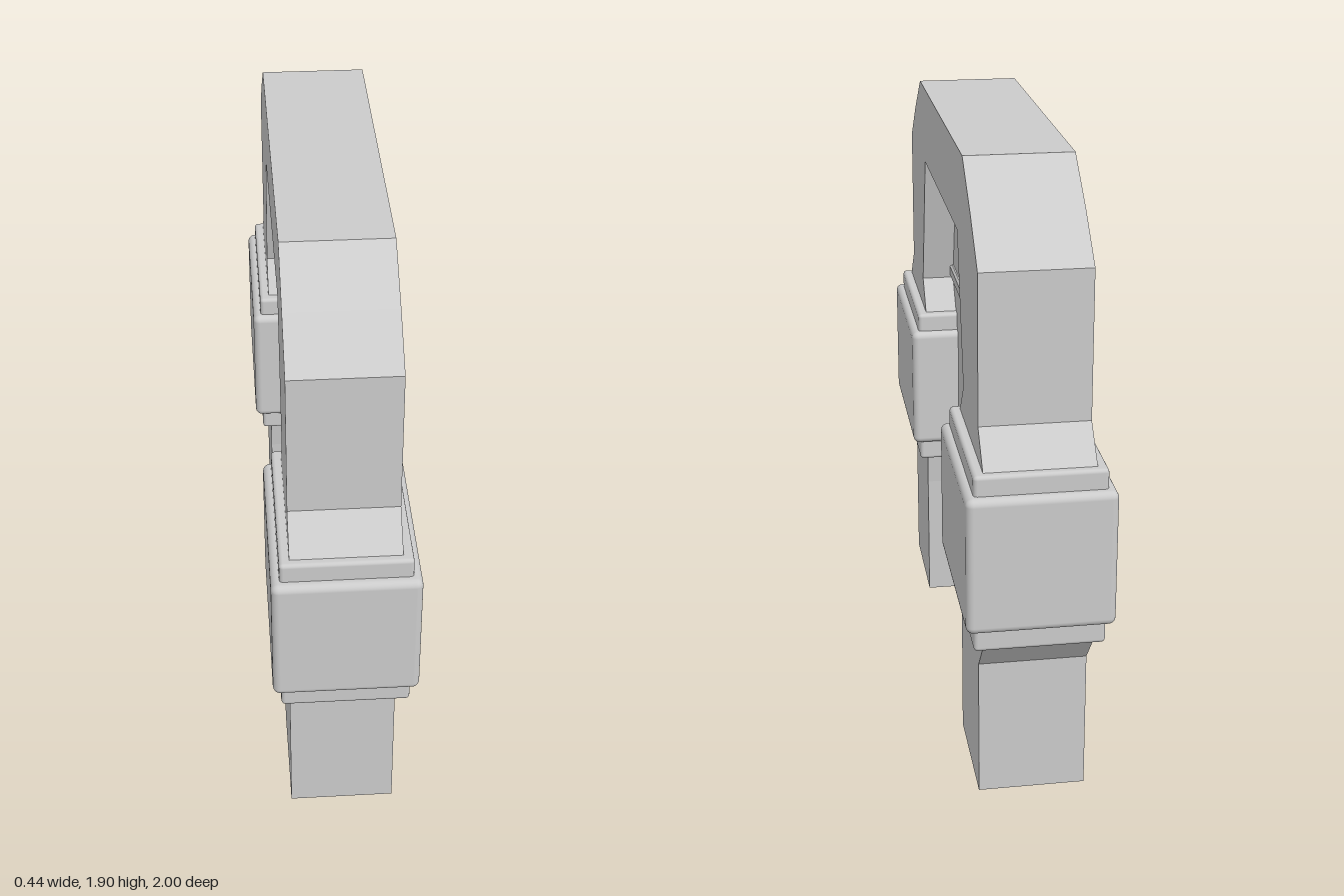
import * as THREE from 'three';
import { RoundedBoxGeometry } from 'three/addons/geometries/RoundedBoxGeometry.js';

const material = new THREE.MeshStandardMaterial({ color: 0xcccccc });

function add(group, name, geometry) {
  const mesh = new THREE.Mesh(geometry, material);
  mesh.name = name;
  group.add(mesh);
  return mesh;
}

const toVectors = (points) => points.map(([z, y]) => new THREE.Vector2(z, y));

// Slab with a profile in the z-y plane, centred on x = 0
function slab(profile, width, bevel = 0, holes = []) {
  const shape = new THREE.Shape(toVectors(profile));
  holes.forEach((hole) => shape.holes.push(new THREE.Path(toVectors(hole))));
  const geometry = new THREE.ExtrudeGeometry(shape, {
    depth: width - 2 * bevel,
    bevelEnabled: bevel > 0,
    bevelThickness: bevel,
    bevelSize: bevel,
    bevelOffset: -bevel,
    bevelSegments: 1,
  });
  geometry.translate(0, 0, -width / 2 + bevel);
  geometry.rotateY(-Math.PI / 2);
  return geometry;
}

export function createModel() {
  const model = new THREE.Group();
  model.name = 'doorway';

  // Arched frame: one half of the outline, mirrored across z = 0
  const half = [
    [0.42, 1.65], [0.54, 1.2], [0.46, 1.1], [0.462, 0.55], [0.472, 0.44], [0.475, 0],
    [0.85, 0], [0.85, 0.44], [0.945, 0.55], [0.945, 1.1], [0.85, 1.2],
    [0.85, 1.65], [0.71, 1.775], [0.545, 1.9],
  ];
  const mirrored = half.map(([z, y]) => [-z, y]).reverse();
  add(model, 'frame', slab([...half, ...mirrored], 0.325));

  // Clamps around both posts
  for (const side of [1, -1]) {
    const clamp = new THREE.Group();
    clamp.name = side > 0 ? 'frontClamp' : 'backClamp';
    add(clamp, 'clampCollar', new RoundedBoxGeometry(0.385, 0.55, 0.54, 2, 0.012));
    add(clamp, 'clampBody', new RoundedBoxGeometry(0.435, 0.42, 0.593, 3, 0.022))
      .position.set(0, 0.005, 0.003 * side);
    clamp.position.set(0, 0.825, 0.7 * side);
    model.add(clamp);
  }

  // Two door leaves meeting along a slanted seam
  const seam = [[0.165, 1.66], [0.165, 1.225], [-0.2, 0.69], [-0.2, 0.03]];
  const leaves = [
    {
      name: 'frontLeaf',
      edge: 0.62,
      panels: [
        [[0.6, 1.25], [0.2, 1.25], [0.2, 1.632], [0.6, 1.632]],
        [[0.6, 0.705], [-0.147, 0.705], [0.185, 1.205], [0.6, 1.205]],
        [[0.6, 0.062], [-0.168, 0.062], [-0.168, 0.66], [0.6, 0.66]],
      ],
    },
    {
      name: 'backLeaf',
      edge: -0.62,
      panels: [
        [[-0.6, 1.25], [0.133, 1.25], [0.133, 1.632], [-0.6, 1.632]],
        [[-0.6, 0.705], [-0.22, 0.705], [0.115, 1.205], [-0.6, 1.205]],
        [[-0.6, 0.062], [-0.23, 0.062], [-0.23, 0.66], [-0.6, 0.66]],
      ],
    },
  ];
  for (const { name, edge, panels } of leaves) {
    const leaf = new THREE.Group();
    leaf.name = name;
    const outline = [...seam, [edge, 0.03], [edge, 1.66]];
    add(leaf, 'leafPanels', slab(outline, 0.112));
    add(leaf, 'leafRim', slab(outline, 0.135, 0.007, panels));
    model.add(leaf);
  }

  return model;
}
